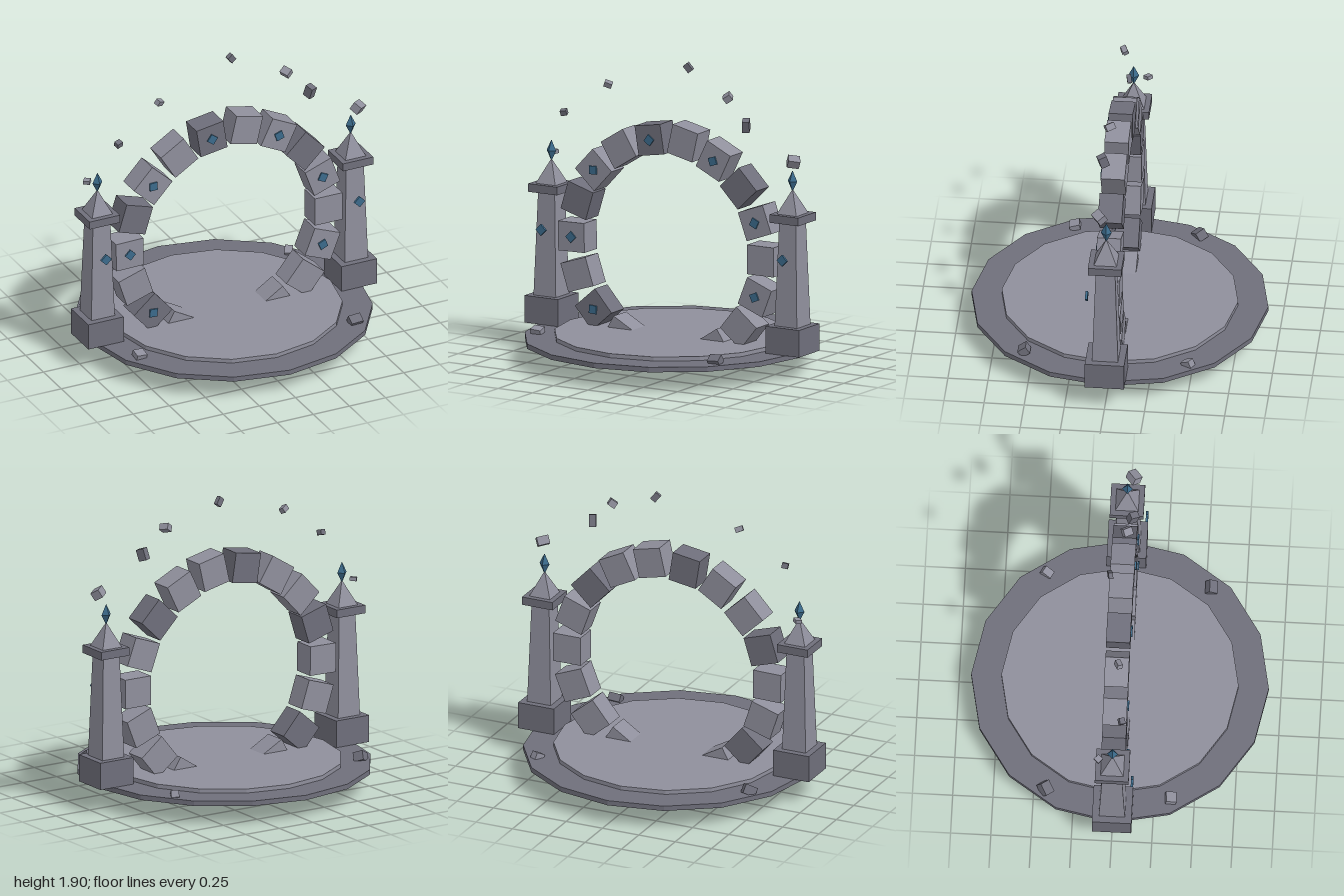
import * as THREE from 'three';

const stone = (color) => new THREE.MeshStandardMaterial({ color, flatShading: true });
const LIGHT = stone(0x8f8f9c);
const DARK = stone(0x6f6f7b);
const GEM = stone(0x3b6b8c);
const rad = THREE.MathUtils.degToRad;

function add(parent, name, geometry, material, x = 0, y = 0, z = 0) {
  const mesh = new THREE.Mesh(geometry, material);
  mesh.name = name;
  mesh.position.set(x, y, z);
  parent.add(mesh);
  return mesh;
}

// Square frustum aligned to the axes, given half-widths
function squareTaper(top, bottom, height) {
  return new THREE.CylinderGeometry(top * Math.SQRT2, bottom * Math.SQRT2, height, 4).rotateY(Math.PI / 4);
}

// Thin square gem plate standing on its corner
const plate = new THREE.BoxGeometry(0.052, 0.052, 0.015).rotateZ(Math.PI / 4);

function makePlatform() {
  const g = new THREE.Group();
  g.name = 'platform';
  add(g, 'lowerDisc', new THREE.CylinderGeometry(0.925, 0.925, 0.032, 16), DARK, 0, 0.15, 0);
  add(g, 'upperDisc', new THREE.CylinderGeometry(0.737, 0.737, 0.028, 16), LIGHT, 0, 0.178, 0);
  return g;
}

function makeArch() {
  const g = new THREE.Group();
  g.name = 'arch';
  const block = new THREE.BoxGeometry(0.19, 0.187, 0.15);
  // Small uneven turn of each block, in degrees, from lower right to lower left
  const wobble = [3, 1, -1.5, 0, 0, 4, 4, -3, -1, 2, -3, 3, 1, -2, 1, 1];
  const darkBlocks = [40, 100, 160, 220];
  const gemBlocks = [-60, -20, 20, 60, 100, 140, 180, 220];
  wobble.forEach((w, i) => {
    const deg = -60 + i * 20;
    const holder = new THREE.Group();
    holder.name = 'archBlock';
    const r = deg === 80 ? 0.695 : 0.688;
    holder.position.set(r * Math.cos(rad(deg)), 0.735 + r * Math.sin(rad(deg)), 0);
    holder.rotation.z = rad(deg + w);
    add(holder, 'block', block, darkBlocks.includes(deg) ? DARK : LIGHT);
    if (gemBlocks.includes(deg)) add(holder, 'blockGem', plate, GEM, 0, 0, 0.077);
    g.add(holder);
  });
  return g;
}

function makePillar(x) {
  const g = new THREE.Group();
  g.name = x > 0 ? 'leftPillar' : 'rightPillar';
  g.position.x = x;
  add(g, 'pillarBase', new THREE.BoxGeometry(0.245, 0.172, 0.245), DARK, 0, 0.252, 0);
  add(g, 'pillarShaft', squareTaper(0.06, 0.081, 0.665), LIGHT, 0, 0.67, 0);
  add(g, 'pillarCap', new THREE.BoxGeometry(0.21, 0.052, 0.21), DARK, 0, 1.02, 0);
  add(g, 'pillarRoof', squareTaper(0, 0.072, 0.155), LIGHT, 0, 1.122, 0);
  add(g, 'topCrystal', new THREE.OctahedronGeometry(0.034).scale(1, 2, 1), GEM, 0, 1.25, 0);
  add(g, 'pillarGem', plate, GEM, 0, 0.767, 0.122);
  return g;
}

function makeRubble() {
  const g = new THREE.Group();
  g.name = 'rubble';
  // position, size, rotation, dark flag
  const rocks = [
    // floating above the arch
    [[-0.755, 1.515, 0.05], [0.04, 0.034, 0.036], [0.3, 0.3, 0.1], 1],
    [[-0.455, 1.72, 0.015], [0.05, 0.034, 0.034], [0.4, 0.3, -0.5], 0],
    [[0.08, 1.87, -0.065], [0.04, 0.055, 0.028], [0.1, 0.2, 0.65], 1],
    [[0.42, 1.733, 0.022], [0.05, 0.042, 0.06], [0.25, 0.5, 0.5], 0],
    [[0.57, 1.578, 0.05], [0.045, 0.075, 0.055], [0.35, 0.4, -0.15], 1],
    [[0.908, 1.383, 0.04], [0.075, 0.055, 0.06], [0.6, 0.5, -0.5], 0],
    [[-0.905, 1.224, -0.087], [0.042, 0.024, 0.04], [0.2, -0.7, 0.2], 0],
    // fallen on the platform
    [[-0.735, 0.18, -0.425], [0.08, 0.06, 0.065], [0.4, 0.65, 0.2], 1],
    [[0.69, 0.175, -0.49], [0.05, 0.045, 0.065], [0.5, -0.45, 0.2], 0],
    [[-0.76, 0.185, 0.355], [0.07, 0.035, 0.065], [0.25, 0.05, -0.1], 0],
    [[0.643, 0.183, 0.535], [0.08, 0.05, 0.06], [0.6, 0.05, 0.05], 1],
  ];
  for (const [p, s, r, dark] of rocks) {
    add(g, 'rock', new THREE.BoxGeometry(...s), dark ? DARK : LIGHT, ...p).rotation.set(...r);
  }
  return g;
}

export function createModel() {
  const model = new THREE.Group();
  model.name = 'stonePortal';
  model.add(makePlatform(), makeArch(), makePillar(-0.877), makePillar(0.877), makeRubble());
  return model;
}
